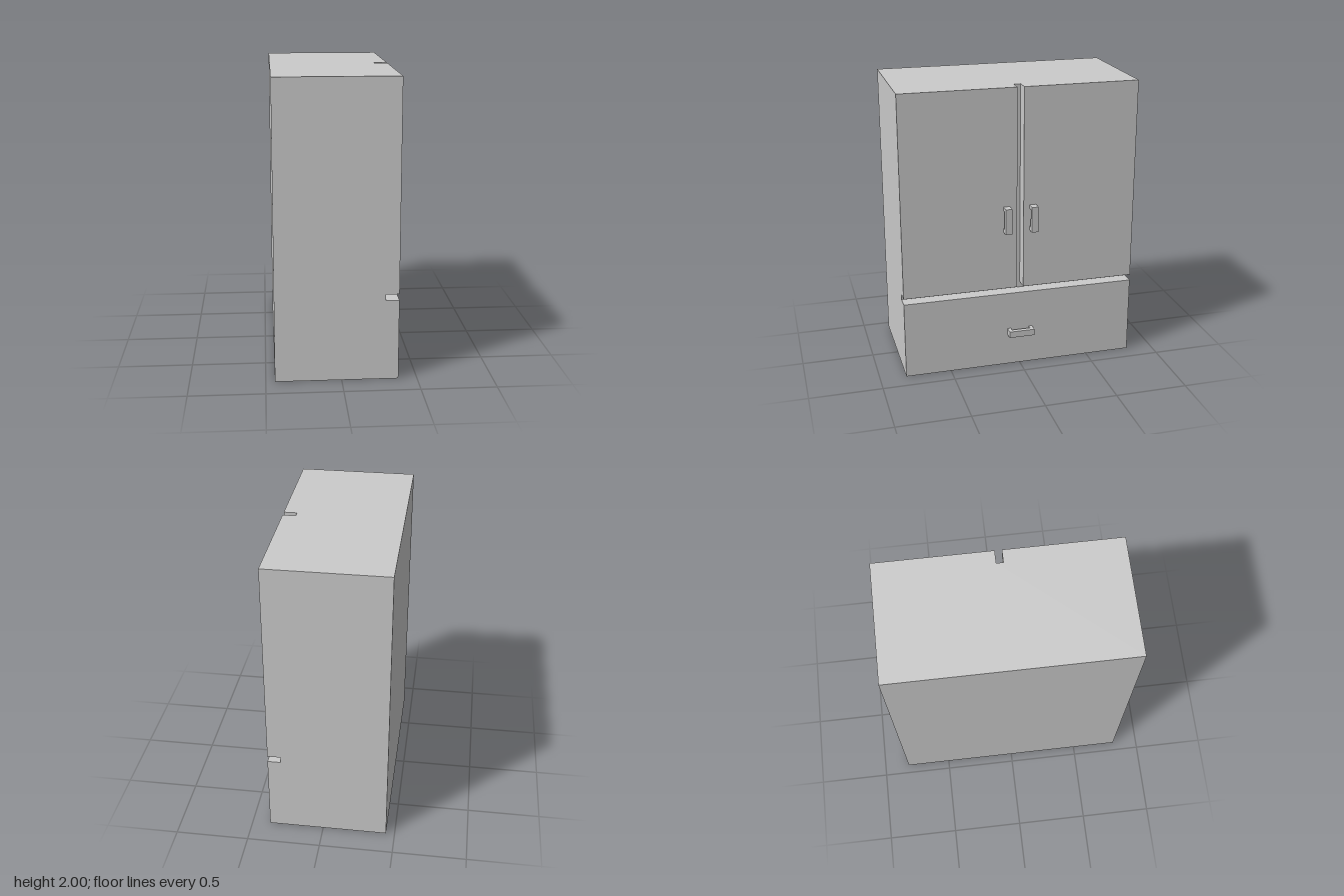
import * as THREE from 'three';

const material = new THREE.MeshStandardMaterial({ color: 0xcccccc, flatShading: true, side: THREE.DoubleSide });

// Cabinet extents: x back / front / groove bottom, half depth, height
const BACK = -0.44, FRONT = 0.376, GROOVE = 0.286, Z = 0.818, H = 2;
// Gap between drawer and doors, and half gap between the doors
const LOW = 0.545, HIGH = 0.587, GAP = 0.023;

// How a flat outline is turned to face each way
const FACING = {
  '+z': g => g,
  '-z': g => g.rotateY(Math.PI),
  '+x': g => g.rotateY(Math.PI / 2),
  '-x': g => g.rotateY(-Math.PI / 2),
  '+y': g => g.rotateX(-Math.PI / 2),
  '-y': g => g.rotateX(Math.PI / 2),
};

const outline = pts => new THREE.Shape(pts.map(p => new THREE.Vector2(...p)));
const rect = (u0, v0, u1, v1) => [[u0, v0], [u1, v0], [u1, v1], [u0, v1]];

// Thin sheet facing one axis, moved along that axis to the given distance
function panel(name, pts, facing, distance) {
  const g = FACING[facing](new THREE.ShapeGeometry(outline(pts)));
  const offset = { x: 0, y: 0, z: 0, [facing[1]]: distance };
  g.translate(offset.x, offset.y, offset.z);
  const mesh = new THREE.Mesh(g, material);
  mesh.name = name;
  return mesh;
}

// C-shaped pull handle, upright, centred on its own length and width
function handle(name) {
  const L = 0.09, inner = 0.065, bar = 0.03, out = 0.06, width = 0.045;
  const shape = outline([[0, -L], [out, -L], [out, L], [0, L], [0, inner], [bar, inner], [bar, -inner], [0, -inner]]);
  const g = new THREE.ExtrudeGeometry(shape, { depth: width, bevelEnabled: false });
  g.translate(0, 0, -width / 2);
  const mesh = new THREE.Mesh(g, material);
  mesh.name = name;
  return mesh;
}

export function createModel() {
  const model = new THREE.Group();
  model.name = 'cabinet';

  // Hollow body, open underneath: back, notched flanks and notched top
  const body = new THREE.Group();
  body.name = 'body';
  const flank = [[BACK, 0], [FRONT, 0], [FRONT, LOW], [GROOVE, LOW], [GROOVE, HIGH], [FRONT, HIGH], [FRONT, H], [BACK, H]];
  const top = [[BACK, -Z], [FRONT, -Z], [FRONT, -GAP], [GROOVE, -GAP], [GROOVE, GAP], [FRONT, GAP], [FRONT, Z], [BACK, Z]];
  body.add(
    panel('backPanel', rect(-Z, 0, Z, H), '-x', BACK),
    panel('leftFlank', flank, '+z', Z),
    panel('rightFlank', flank.map(([x, y]) => [-x, y]), '-z', -Z),
    panel('top', top, '+y', H),
  );
  model.add(body);

  // Recessed strips behind the gaps
  model.add(
    panel('drawerGapBack', rect(-Z, LOW, Z, HIGH), '+x', GROOVE),
    panel('doorGapBack', rect(-GAP, HIGH, GAP, H), '+x', GROOVE),
  );

  // Drawer front with its top edge and handle
  const drawer = new THREE.Group();
  drawer.name = 'drawer';
  const drawerHandle = handle('drawerHandle');
  drawerHandle.rotation.x = Math.PI / 2;
  drawerHandle.position.set(FRONT, 0.253, 0);
  drawer.add(
    panel('drawerFront', rect(-Z, 0, Z, LOW), '+x', FRONT),
    panel('drawerTopEdge', rect(GROOVE, -Z, FRONT, Z), '+y', LOW),
    drawerHandle,
  );
  model.add(drawer);

  // Pair of doors with lower edges, inner edges and handles
  for (const s of [1, -1]) {
    const door = new THREE.Group();
    door.name = s > 0 ? 'leftDoor' : 'rightDoor';
    const pull = handle('doorHandle');
    pull.position.set(FRONT, 1.095, s > 0 ? 0.096 : -0.087);
    door.add(
      panel('doorFront', rect(-s * GAP, HIGH, -s * Z, H), '+x', FRONT),
      panel('doorLowerEdge', rect(GROOVE, s * GAP, FRONT, s * Z), '-y', HIGH),
      panel('doorInnerEdge', rect(-s * GROOVE, HIGH, -s * FRONT, H), s > 0 ? '-z' : '+z', s * GAP),
      pull,
    );
    model.add(door);
  }
  return model;
}
